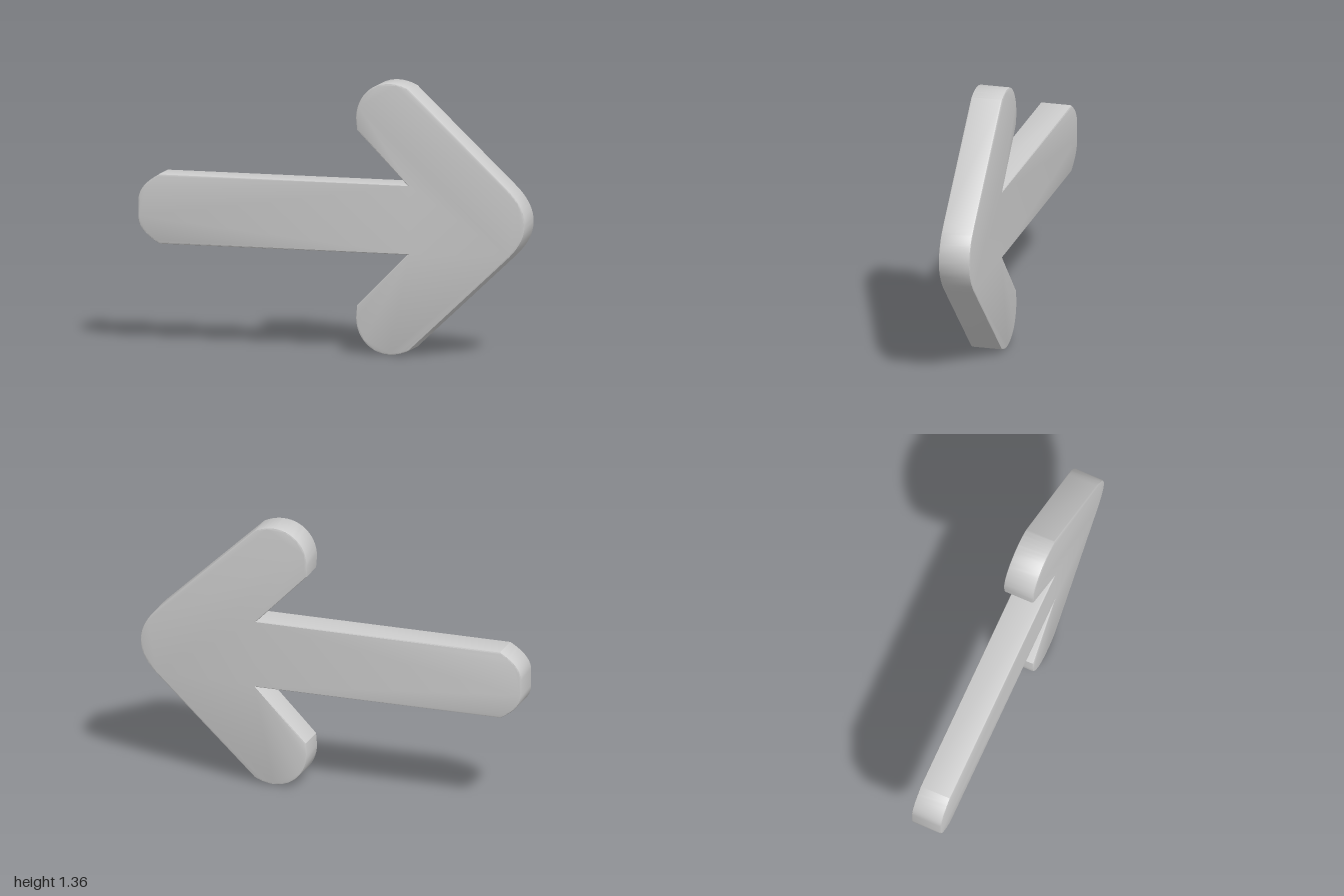
import * as THREE from 'three';
import { toCreasedNormals } from 'three/addons/utils/BufferGeometryUtils.js';

const CENTRE_Y = 0.68;
const THICKNESS = 0.16;
const BEVEL = 0.008;

// Upper half of the arrow outline, from the nose round to the tail
function halfOutline() {
  const path = new THREE.Path();
  path.moveTo(1, 0);
  path.bezierCurveTo(1, 0.07, 0.96, 0.127, 0.91, 0.175); // rounded nose
  path.lineTo(0.4, 0.655); // slanted outer edge
  path.quadraticCurveTo(0.35, 0.68, 0.3, 0.68);
  path.bezierCurveTo(0.2, 0.68, 0.125, 0.6, 0.125, 0.5); // rounded barb end
  path.lineTo(0.13, 0.44);
  path.lineTo(0.39, 0.175); // inner corner
  path.lineTo(-0.89, 0.175); // shaft edge
  path.bezierCurveTo(-0.95, 0.14, -1, 0.1, -1, 0.04); // rounded tail
  return path.getPoints(14);
}

export function createModel() {
  const group = new THREE.Group();
  group.name = 'arrow';

  // Mirror the half outline below the centre line
  const upper = halfOutline();
  const lower = upper.slice(1).reverse().map((p) => new THREE.Vector2(p.x, -p.y));
  const shape = new THREE.Shape([...upper, ...lower]);

  // Flat plate with slightly softened rims
  const geometry = new THREE.ExtrudeGeometry(shape, {
    depth: THICKNESS - 2 * BEVEL,
    bevelEnabled: true,
    bevelThickness: BEVEL,
    bevelSize: BEVEL,
    bevelOffset: -BEVEL,
    bevelSegments: 2,
  });
  geometry.translate(0, CENTRE_Y, -THICKNESS / 2 + BEVEL);

  const material = new THREE.MeshStandardMaterial({ color: 0xcccccc });
  const plate = new THREE.Mesh(toCreasedNormals(geometry, 0.45), material);
  plate.name = 'arrowPlate';
  group.add(plate);
  return group;
}
